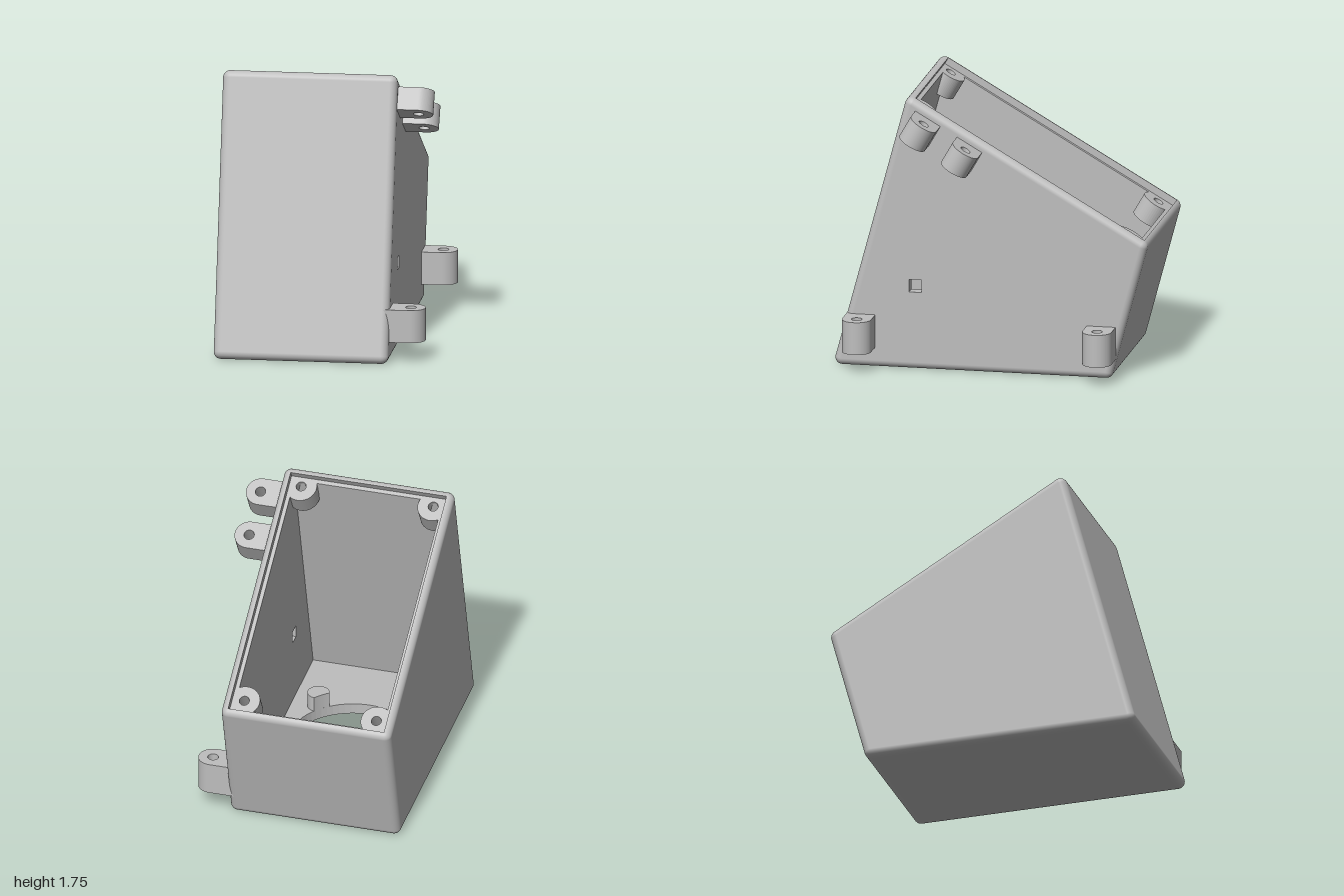
import * as THREE from 'three';

const grey = new THREE.MeshStandardMaterial({ color: 0xbebebe });
grey.name = 'light grey plastic';

const R = 0.045;               // edge rounding, also lid recess depth
const WALL = 0.07;             // wall and floor thickness
const X0 = -0.665, X1 = 0.44;  // outer sides
const XM = (X0 + X1) / 2;
const TILT = Math.PI / 6;      // slope of the open top
const T15 = Math.tan(Math.PI / 12), T30 = Math.tan(TILT);

// Corners [z, y] of the side profile, inset from its four sides
function profile(wall, floor, top) {
  const f = 1.014 - wall / Math.cos(Math.PI / 12);
  const b = -0.77 + wall / Math.cos(Math.PI / 12);
  const t = 1.467 - top / Math.cos(TILT);
  const upper = (k) => {
    const z = (k - T15 * t) / (1 + T15 * T30);
    return [z, t + T30 * z];
  };
  return { c: upper(b), d: [b - T15 * floor, floor], a: [f - T15 * floor, floor], b: upper(f) };
}
const Q = profile(R, R, R);
const CAV = profile(WALL, WALL, R);

function mesh(name, geometry) {
  const m = new THREE.Mesh(geometry, grey);
  m.name = name;
  return m;
}
const shapeOf = (pts) => new THREE.Shape(pts.map((p) => new THREE.Vector2(p[0], p[1])));
const circle = (x, y, r) => new THREE.Path().absarc(x, y, r, 0, Math.PI * 2);
const extrude = (shape, depth) =>
  new THREE.ExtrudeGeometry(shape, { depth, bevelEnabled: false, curveSegments: 32 });
// Shape drawn in (z, y), running from xMax towards -x
const alongX = (shape, xMax, depth) => extrude(shape, depth).rotateY(-Math.PI / 2).translate(xMax, 0, 0);
// Shape drawn in (x, -z), running upwards from y
const alongY = (shape, y, depth) => extrude(shape, depth).rotateX(-Math.PI / 2).translate(0, y, 0);

// Rounded outer skin, open over the lid recess
function skinGeometry() {
  const N = 6, ring = [], pos = [], nor = [], idx = [];
  const arcs = [[Q.c, 120, 195], [Q.d, 195, 270], [Q.a, 270, 375], [Q.b, 375, 480]];
  for (const [p, from, to] of arcs) {
    for (let i = 0; i <= N; i++) {
      const ang = THREE.MathUtils.degToRad(from + (to - from) * i / N);
      ring.push([p[0], p[1], Math.cos(ang), Math.sin(ang)]);
    }
  }
  for (let k = 0; k < 2 * (N + 1); k++) {
    const left = k <= N;
    const th = (left ? k / N - 1 : (k - N - 1) / N) * Math.PI / 2;
    const x = (left ? X0 + R : X1 - R) + R * Math.sin(th), c = Math.cos(th);
    for (const [z, y, nz, ny] of ring) {
      pos.push(x, y + R * c * ny, z + R * c * nz);
      nor.push(Math.sin(th), c * ny, c * nz);
    }
  }
  const M = ring.length;
  for (let k = 0; k < 2 * N + 1; k++) {
    for (let j = 0; j < M; j++) {
      if (k === N && j === M - 1) continue;
      const j2 = (j + 1) % M;
      const a = k * M + j, b = a + M, c = (k + 1) * M + j2, d = k * M + j2;
      idx.push(a, b, c, a, c, d);
    }
  }
  const g = new THREE.BufferGeometry();
  g.setAttribute('position', new THREE.Float32BufferAttribute(pos, 3));
  g.setAttribute('normal', new THREE.Float32BufferAttribute(nor, 3));
  g.setIndex(idx);
  return g;
}

// Mounting lug around its screw hole; layers are [thickness, hole radius]
function lug(name, layers, y, z, tilt) {
  const g = new THREE.Group();
  g.name = name;
  const r = 0.0925;
  let h = -layers.reduce((s, l) => s + l[0], 0) / 2;
  for (const [t, hole] of layers) {
    const s = new THREE.Shape();
    s.moveTo(-0.165, -r);
    s.lineTo(0, -r);
    s.absarc(0, 0, r, -Math.PI / 2, Math.PI / 2);
    s.lineTo(-0.165, r);
    s.closePath();
    s.holes.push(circle(0, 0, hole));
    g.add(mesh(name + 'Layer', alongY(s, h, t)));
    h += t;
  }
  g.position.set(0.567, y, z);
  g.rotation.x = tilt;
  return g;
}

// Lid screw boss, squared off towards its corner (sx, sz point inwards)
function lidBoss(sx, sz, az) {
  const r = 0.1, ax = 0.055, pts = [[-ax, -az]];
  const from = -Math.asin(az / r), to = Math.PI / 2 + Math.asin(ax / r);
  for (let i = 0; i <= 24; i++) {
    const t = from + (to - from) * i / 24;
    pts.push([r * Math.cos(t), r * Math.sin(t)]);
  }
  const s = shapeOf(pts.map(([x, z]) => [sx * x, -sz * z]));
  s.holes.push(circle(0, 0, 0.032));
  return mesh('lidBoss', alongY(s, -0.14, 0.14));
}

export function createModel() {
  const model = new THREE.Group();
  model.name = 'slopedEnclosure';
  model.add(mesh('outerSkin', skinGeometry()));

  // Side walls, the left one with a small square cable window
  const side = () => shapeOf([Q.c, Q.d, Q.a, Q.b]);
  const leftWall = side();
  leftWall.holes.push(new THREE.Path(
    [[0.44, 0.5], [0.44, 0.58], [0.52, 0.58], [0.52, 0.5]].map((p) => new THREE.Vector2(...p))));
  model.add(mesh('leftWall', alongX(leftWall, X1, WALL)));
  model.add(mesh('rightWall', alongX(side(), X0 + WALL, WALL)));

  // Front and back walls, whose tops form the lid ledge
  const inner = X1 - X0 - 2 * WALL;
  model.add(mesh('frontWall', alongX(shapeOf([Q.a, Q.b, CAV.b, CAV.a]), X1 - WALL, inner)));
  model.add(mesh('backWall', alongX(shapeOf([Q.d, Q.c, CAV.c, CAV.d]), X1 - WALL, inner)));

  // Floor with the large round opening and four screw holes
  const HZ = 0.12, HR = 0.4, OFF = 0.31;
  const floor = shapeOf([[X0 + R, -Q.a[0]], [X1 - R, -Q.a[0]], [X1 - R, -Q.d[0]], [X0 + R, -Q.d[0]]]);
  floor.holes.push(circle(XM, -HZ, HR));
  const D = OFF * Math.SQRT2, br = 0.07;
  const cx = (D * D + br * br - HR * HR) / (2 * D), cy = Math.sqrt(br * br - cx * cx);
  const al = Math.atan2(cy, cx), be = Math.atan2(cy, D - cx);
  for (const sx of [-1, 1]) {
    for (const sz of [-1, 1]) {
      floor.holes.push(circle(XM + sx * OFF, -(HZ + sz * OFF), 0.015));
      // Screw boss trimmed by the round opening
      const s = new THREE.Shape();
      s.absarc(0, 0, br, al, 2 * Math.PI - al, false);
      s.absarc(D, 0, HR, Math.PI + be, Math.PI - be, true);
      const boss = mesh('floorBoss', alongY(s, 0, 0.1));
      boss.position.set(XM + sx * OFF, WALL, HZ + sz * OFF);
      boss.rotation.y = Math.atan2(sz, -sx);
      model.add(boss);
    }
  }
  model.add(mesh('floor', alongY(floor, 0, WALL)));

  // Lid seat, in the frame of the sloping top
  const lid = new THREE.Group();
  lid.name = 'lidSeat';
  const mz = (Q.b[0] + Q.c[0]) / 2;
  lid.position.set(XM, (Q.b[1] + Q.c[1]) / 2, mz);
  lid.rotation.x = -TILT;
  const len = (Q.b[0] - Q.c[0]) / Math.cos(TILT), wid = X1 - X0 - 2 * R;
  for (let i = 0; i < 4; i++) {
    const across = i % 2 === 0;
    const wall = mesh('recessWall', new THREE.PlaneGeometry(across ? wid : len, R)
      .translate(0, R / 2, -(across ? len : wid) / 2));
    wall.rotation.y = i * Math.PI / 2;
    lid.add(wall);
  }
  for (const sx of [-1, 1]) {
    for (const [z, sz, az] of [[-0.875, 1, 0.088], [0.455, -1, 0.055]]) {
      const b = lidBoss(sx, sz, az);
      b.position.set(-sx * 0.43, 0, (z - mz) / Math.cos(TILT));
      lid.add(b);
    }
  }
  model.add(lid);

  // Mounting lugs on the left side
  const stepped = [[0.095, 0.034], [0.02, 0.02], [0.095, 0.034]];
  model.add(lug('lowerFrontLug', stepped, 0.235, 0.83, 0));
  model.add(lug('lowerBackLug', stepped, 0.235, -0.71, 0));
  model.add(lug('upperFrontLug', [[0.15, 0.033]], 1.565, 0.4375, -TILT));
  model.add(lug('upperBackLug', [[0.15, 0.033]], 1.41, 0.17, -TILT));
  return model;
}
